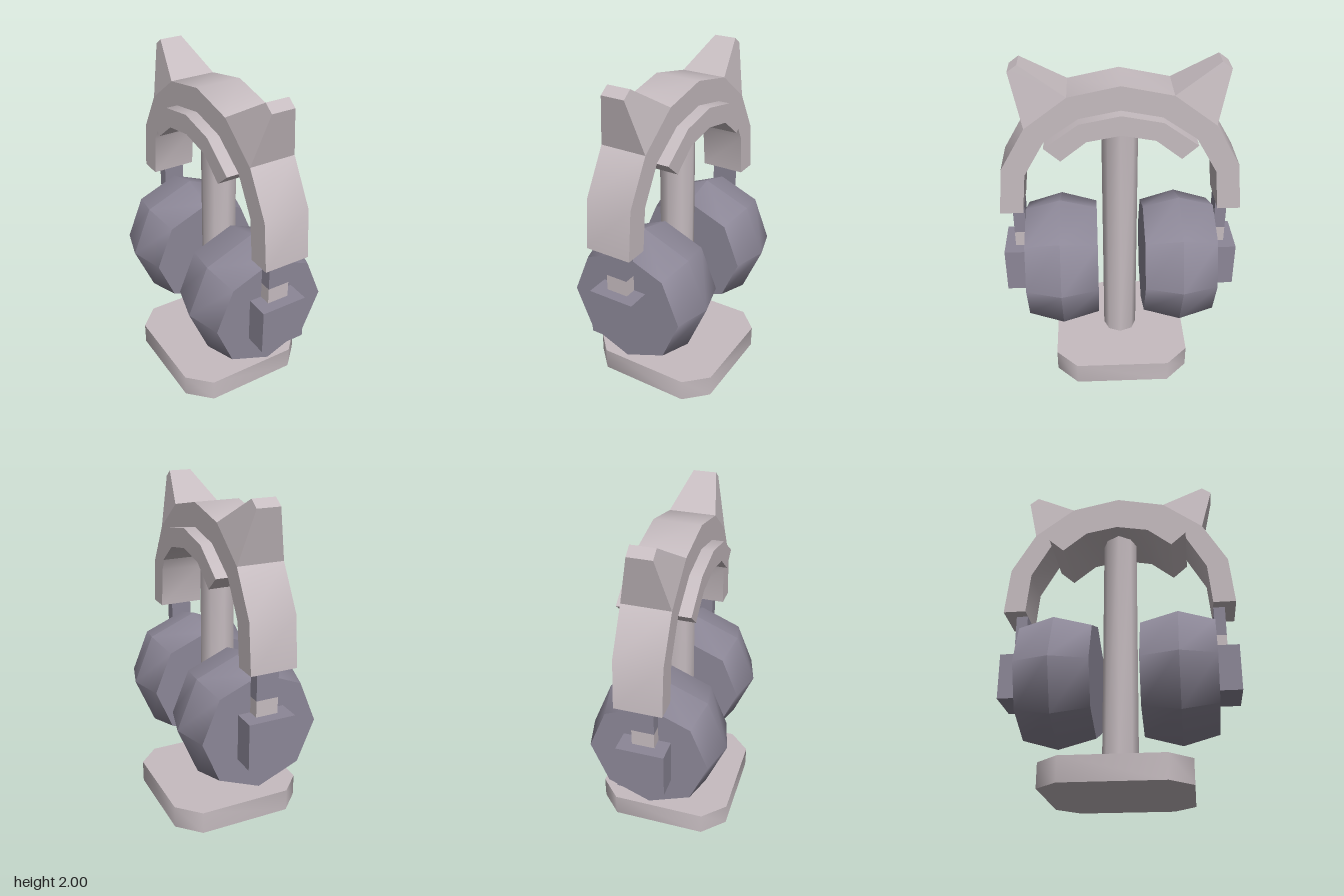
import * as THREE from 'three';
import { toCreasedNormals } from 'three/addons/utils/BufferGeometryUtils.js';

const grey = new THREE.MeshStandardMaterial({ name: 'warmGrey', color: 0xc6bcc0 });
const purple = new THREE.MeshStandardMaterial({ name: 'dustyPurple', color: 0x8c8797 });

// Extrude a [z, y] outline across x, centred on x = 0
function sideExtrude(points, width) {
  const shape = new THREE.Shape(points.map(([z, y]) => new THREE.Vector2(z, y)));
  const geo = new THREE.ExtrudeGeometry(shape, { depth: width, bevelEnabled: false });
  return geo.translate(0, 0, -width / 2).rotateY(-Math.PI / 2);
}

// Complete a half outline (running from the centre line outwards and back) by mirroring
function mirrored(half) {
  return [...half, ...half.slice(1, -1).reverse().map(([z, y]) => [-z, y])];
}

export function createModel() {
  const model = new THREE.Group();
  model.name = 'headphoneStand';

  function add(name, geo, mat, parent = model, crease = 0.6) {
    const mesh = new THREE.Mesh(toCreasedNormals(geo, crease), mat);
    mesh.name = name;
    parent.add(mesh);
    return mesh;
  }
  function box(name, mat, x, y0, y1, z0, z1, parent) {
    const geo = new THREE.BoxGeometry(2 * x, y1 - y0, z1 - z0);
    geo.translate(0, (y0 + y1) / 2, (z0 + z1) / 2);
    return add(name, geo, mat, parent);
  }

  // Base: square slab with cut corners
  const a = 0.415, b = 0.285;
  add('base', new THREE.ExtrudeGeometry(new THREE.Shape(
    [[a, -b], [a, b], [b, a], [-b, a], [-a, b], [-a, -b], [-b, -a], [b, -a]]
      .map(([x, z]) => new THREE.Vector2(x, z))),
  { depth: 0.14, bevelEnabled: false }).rotateX(-Math.PI / 2), grey, model, 0.9);

  // Stem
  add('stem', new THREE.CylinderGeometry(0.105, 0.105, 1.53, 8).translate(0, 0.895, 0), grey, model, 0.9);

  // Headband arch
  add('headband', sideExtrude(mirrored([
    [0, 1.9], [0.29, 1.84], [0.53, 1.66], [0.675, 1.41], [0.705, 1.12],
    [0.57, 1.12], [0.545, 1.37], [0.425, 1.58], [0.23, 1.715], [0, 1.76],
  ]), 0.275), grey);

  // Wider pad under the arch
  add('headPad', sideExtrude(mirrored([
    [0, 1.76], [0.23, 1.715], [0.425, 1.575], [0.335, 1.495], [0.19, 1.61], [0, 1.645],
  ]), 0.415), grey);

  // Both ends: ear, slider, hinge block and ear cup
  for (const [side, turn] of [['front', 0], ['back', Math.PI]]) {
    const end = new THREE.Group();
    end.name = side + 'Earpiece';
    end.rotation.y = turn;
    model.add(end);

    // Pointed ear, narrowed towards its tip
    const ear = sideExtrude([[0.29, 1.84], [0.53, 1.66], [0.6, 1.96], [0.545, 2]], 0.275);
    const p = ear.attributes.position;
    for (let i = 0; i < p.count; i++) if (p.getY(i) > 1.9) p.setX(i, p.getX(i) * 0.5);
    add('ear', ear, grey, end);

    box('slider', purple, 0.066, 0.935, 1.13, 0.57, 0.64, end);
    box('sliderSleeve', grey, 0.066, 0.83, 0.935, 0.57, 0.64, end);
    box('hingeBlock', purple, 0.14, 0.56, 0.838, 0.56, 0.705, end);

    // Eight-sided ear cup, widest at the middle
    const profile = [[0, 0.14], [0.355, 0.14], [0.415, 0.36], [0.355, 0.57], [0, 0.57]]
      .map(([r, y]) => new THREE.Vector2(r, y));
    add('earCup', new THREE.LatheGeometry(profile, 8).rotateX(Math.PI / 2).translate(0, 0.7, 0),
      purple, end, 0.9);
  }
  return model;
}
